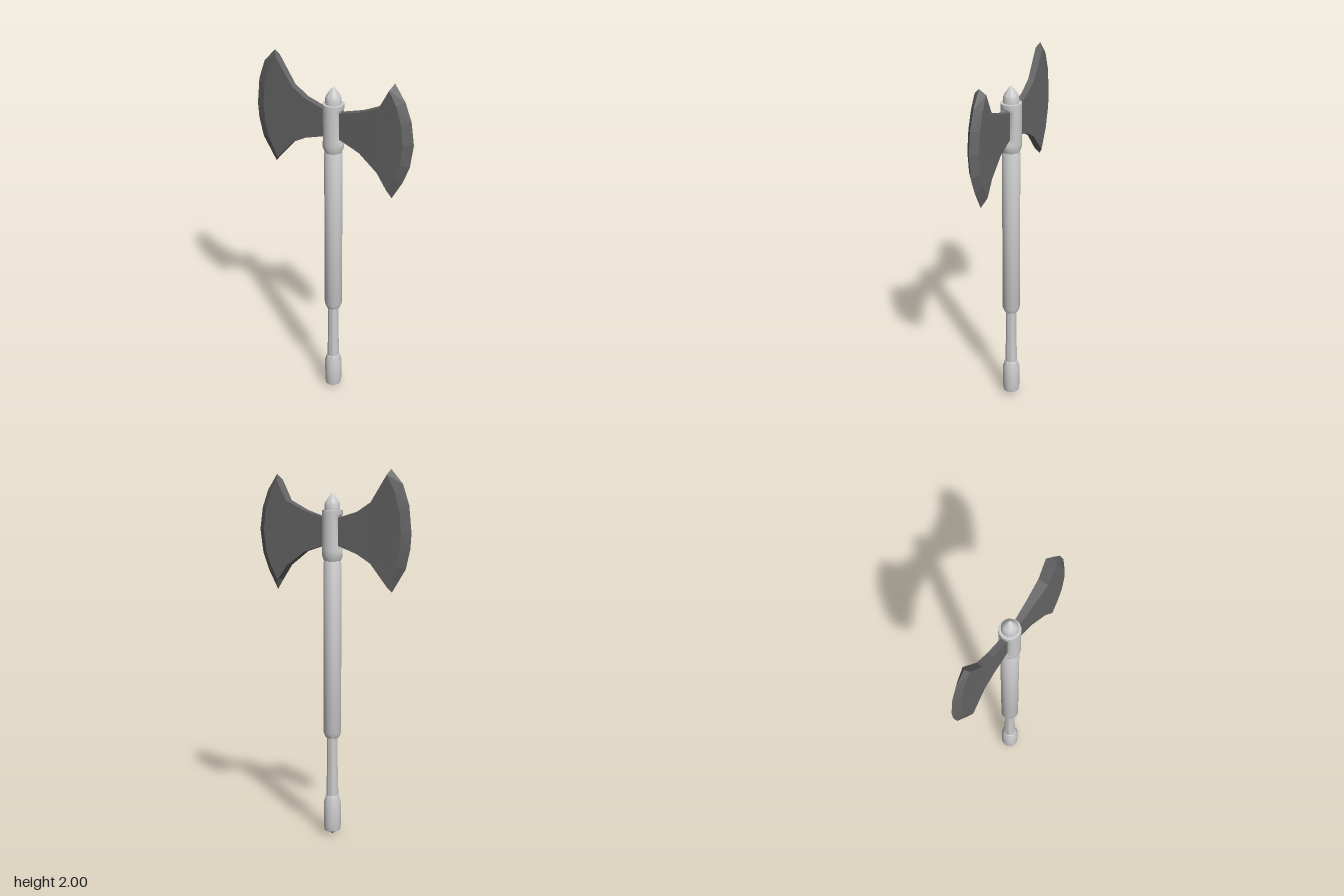
import * as THREE from 'three';
import { toCreasedNormals } from 'three/addons/utils/BufferGeometryUtils.js';

const grey = new THREE.MeshStandardMaterial({ color: 0xcccccc });
const steel = new THREE.MeshStandardMaterial({ color: 0x666666, flatShading: true });

// Turned part from [radius, height] pairs, bottom to top
function turned(name, profile, reshape) {
  const geo = new THREE.LatheGeometry(profile.map(([r, y]) => new THREE.Vector2(r, y)), 24);
  if (reshape) {
    const p = geo.attributes.position;
    for (let i = 0; i < p.count; i++) p.setX(i, reshape(p.getX(i), p.getY(i)));
  }
  const mesh = new THREE.Mesh(toCreasedNormals(geo, 0.6), grey);
  mesh.name = name;
  return mesh;
}

// Blade as a grid: straight columns at the neck, then the bevel arc, then the sharp edge
function blade(name, side, neck, bevel, edge, halfThickness) {
  const rows = edge.length;
  const columns = neck.map(([x, top, bottom]) =>
    Array.from({ length: rows }, (_, j) => [x, top + (bottom - top) * j / (rows - 1)]));
  columns.push(bevel, edge);
  const point = (i, j, s) => {
    const [x, y] = columns[i][j];
    return [side * x, y, i === columns.length - 1 ? 0 : s * halfThickness(x)];
  };
  const pos = [];
  const quad = (a, b, c, d, flip) => {
    const order = flip !== (side < 0) ? [a, c, b, a, d, c] : [a, b, c, a, c, d];
    order.forEach((v) => pos.push(...v));
  };
  for (let i = 0; i < columns.length - 1; i++) {
    // Front and back faces
    for (const s of [1, -1]) {
      for (let j = 0; j < rows - 1; j++) {
        quad(point(i, j, s), point(i, j + 1, s), point(i + 1, j + 1, s), point(i + 1, j, s), s < 0);
      }
    }
    // Upper and lower walls
    for (const j of [0, rows - 1]) {
      quad(point(i, j, 1), point(i + 1, j, 1), point(i + 1, j, -1), point(i, j, -1), j > 0);
    }
  }
  const geo = new THREE.BufferGeometry();
  geo.setAttribute('position', new THREE.Float32BufferAttribute(pos, 3));
  geo.computeVertexNormals();
  const mesh = new THREE.Mesh(geo, steel);
  mesh.name = name;
  return mesh;
}

export function createModel() {
  const model = new THREE.Group();
  model.name = 'doubleAxe';

  model.add(turned('pommel', [
    [0, 0], [0.012, 0.01], [0.043, 0.025], [0.047, 0.05], [0.047, 0.18], [0.036, 0.22], [0.03, 0.225],
  ]));
  model.add(turned('grip', [[0.033, 0.2], [0.032, 0.3], [0.029, 0.4], [0.029, 0.56]]));
  model.add(turned('shaft', [
    [0.028, 0.55], [0.038, 0.555], [0.048, 0.58], [0.048, 1.505], [0.04, 1.522], [0.036, 1.54],
  ]));

  // Socket: flattened on both sides where the blades enter
  model.add(turned('socket', [
    [0.036, 1.515], [0.046, 1.52], [0.055, 1.545], [0.055, 1.57], [0.055, 1.59],
    [0.055, 1.745], [0.055, 1.76], [0.055, 1.785], [0.038, 1.786],
  ], (x, y) => (y > 1.58 && y < 1.75 ? THREE.MathUtils.clamp(x, -0.044, 0.044) : x)));
  model.add(turned('spike', [
    [0.041, 1.78], [0.041, 1.815], [0.035, 1.83], [0.008, 1.868], [0, 1.872],
  ]));

  // Blades: neck columns are [distance, top, bottom]
  model.add(blade('leftBlade', 1,
    [[0.02, 1.738, 1.607], [0.165, 1.78, 1.56], [0.275, 1.83, 1.48]],
    [[0.335, 1.94], [0.375, 1.87], [0.405, 1.78], [0.42, 1.67], [0.407, 1.56], [0.377, 1.48], [0.333, 1.4]],
    [[0.35, 1.97], [0.41, 1.885], [0.447, 1.79], [0.465, 1.67], [0.447, 1.545], [0.41, 1.45], [0.35, 1.345]],
    (x) => THREE.MathUtils.clamp(THREE.MathUtils.mapLinear(x, 0.05, 0.33, 0.015, 0.031), 0.013, 0.031)));
  model.add(blade('rightBlade', -1,
    [[0.02, 1.738, 1.607], [0.16, 1.78, 1.56], [0.24, 1.83, 1.515]],
    [[0.335, 1.97], [0.38, 1.89], [0.41, 1.79], [0.42, 1.68], [0.412, 1.59], [0.393, 1.51], [0.34, 1.4]],
    [[0.35, 2.0], [0.418, 1.925], [0.455, 1.82], [0.47, 1.68], [0.465, 1.6], [0.44, 1.495], [0.36, 1.37]],
    (x) => THREE.MathUtils.clamp(THREE.MathUtils.mapLinear(x, 0.23, 0.34, 0.017, 0.02), 0.017, 0.02)));

  return model;
}
